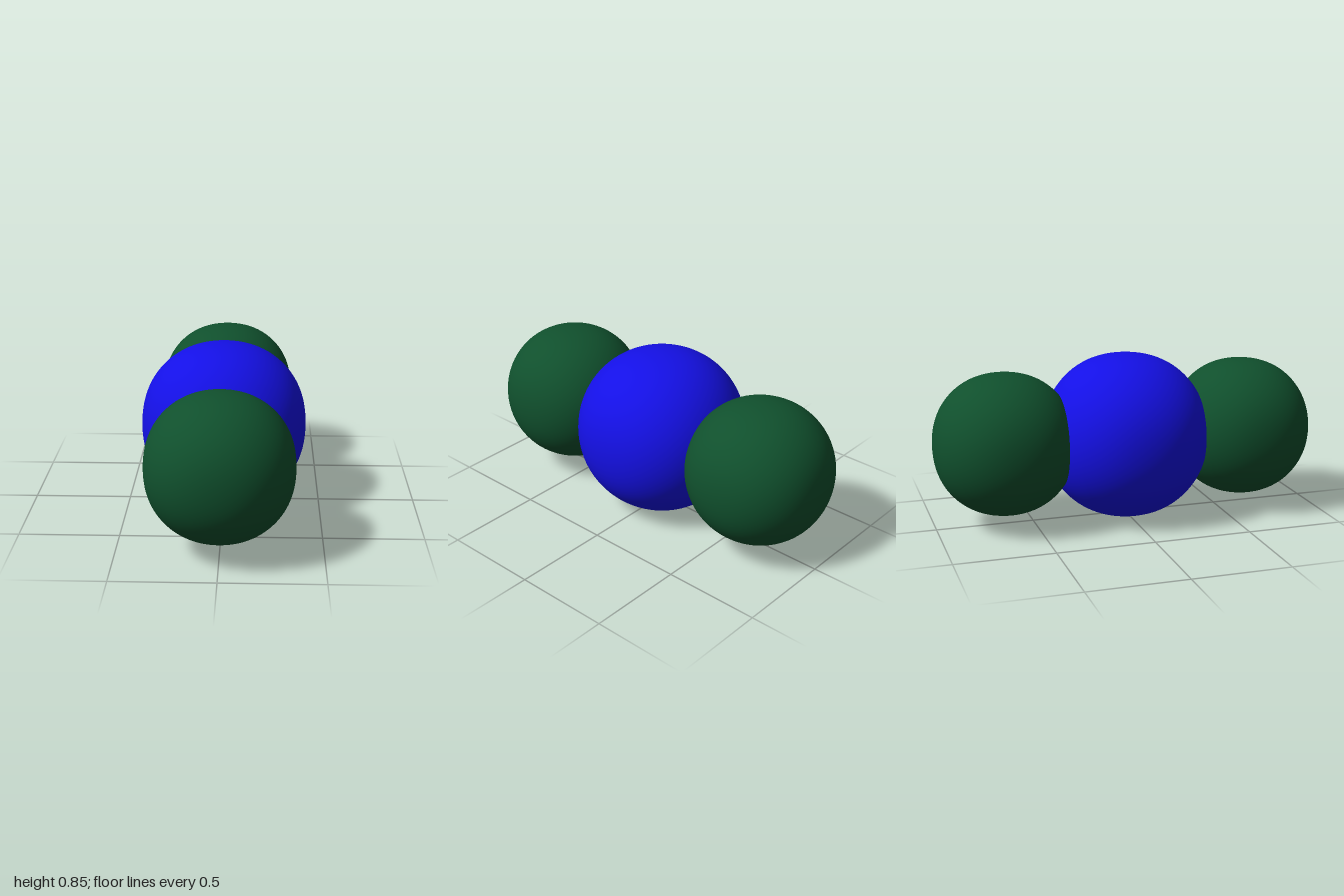
import * as THREE from 'three';
import { mergeVertices } from 'three/addons/utils/BufferGeometryUtils.js';

// Cube inflated almost to a ball: edges and corners bulge slightly past a sphere
function puffedCube(radius, segments = 28) {
  const box = new THREE.BoxGeometry(2, 2, 2, segments, segments, segments);
  box.deleteAttribute('normal');
  box.deleteAttribute('uv');
  const geometry = mergeVertices(box, 1e-4);
  const pos = geometry.attributes.position;
  const v = new THREE.Vector3();
  for (let i = 0; i < pos.count; i++) {
    v.fromBufferAttribute(pos, i);
    // even out the spacing before projecting outwards
    v.set(...v.toArray().map((c) => Math.tan((c * Math.PI) / 4))).normalize();
    const u = 1 - (v.x ** 4 + v.y ** 4 + v.z ** 4);
    v.multiplyScalar(radius * (1 + 0.0738 * u - 0.0396 * u * u));
    pos.setXYZ(i, v.x, v.y, v.z);
  }
  geometry.computeVertexNormals();
  return geometry;
}

export function createModel() {
  const model = new THREE.Group();
  model.name = 'threeBallChain';
  const blue = new THREE.MeshStandardMaterial({ color: 0x1410e6 });
  const green = new THREE.MeshStandardMaterial({ color: 0x10502d });
  const centreY = 0.424;

  const addBall = (name, radius, z, material) => {
    const ball = new THREE.Mesh(puffedCube(radius), material);
    ball.name = name;
    ball.position.set(0, centreY, z);
    model.add(ball);
  };

  // Large middle ball with a smaller one sunk into it at each end
  addBall('middleBall', 0.424, 0, blue);
  addBall('frontBall', 0.36, 0.64, green);
  addBall('backBall', 0.36, -0.64, green);

  return model;
}
